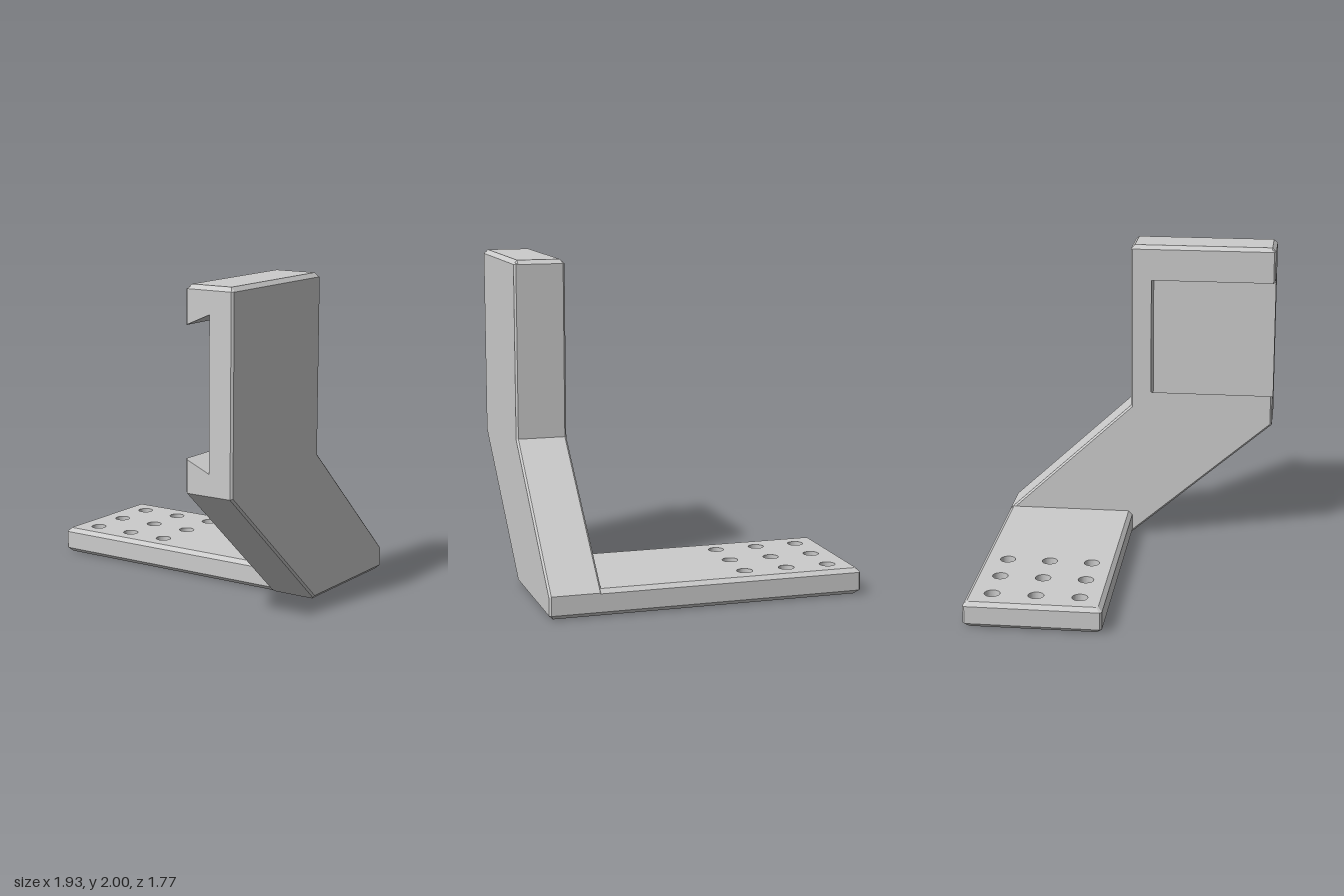
import * as THREE from 'three';

const material = new THREE.MeshStandardMaterial({ color: 0xcccccc, flatShading: true });
const CHAMFER = 0.025, EDGE = 0.012;

// Joins rings of equal point count (arrays of Vector3) into a flat-faced skin.
// caps: optional triangle lists for the first and the last ring.
function loft(rings, firstCap = [], lastCap = []) {
  const pos = [];
  const tri = (a, b, c) => {
    const area = b.clone().sub(a).cross(c.clone().sub(a)).length();
    if (area > 1e-8) [a, b, c].forEach(p => pos.push(p.x, p.y, p.z));
  };
  for (let r = 0; r < rings.length - 1; r++) {
    const lo = rings[r], hi = rings[r + 1];
    lo.forEach((a, i) => {
      const j = (i + 1) % lo.length;
      tri(a, hi[i], lo[j]);
      tri(lo[j], hi[i], hi[j]);
    });
  }
  const end = rings[rings.length - 1];
  firstCap.forEach(([a, b, c]) => tri(rings[0][a], rings[0][b], rings[0][c]));
  lastCap.forEach(([a, b, c]) => tri(end[a], end[c], end[b]));
  const geo = new THREE.BufferGeometry();
  geo.setAttribute('position', new THREE.Float32BufferAttribute(pos, 3));
  geo.computeVertexNormals();
  return geo;
}

// Side outline of the arm as (z, y): v insets the walls, t the top and bottom,
// the slot is given by its blind end and its lower and upper edges.
function armOutline(v, t, slotEnd, slotLow, slotHigh) {
  const front = 0.885 - v;
  return [
    [-0.86, t],
    [-0.055 + 1.16 * t - 1.53 * v, t],
    [front, 0.81 + 0.46 * v],
    [front, slotLow], [slotEnd ?? front, slotLow],
    [slotEnd ?? front, slotHigh], [front, slotHigh],
    [front, 2 - CHAMFER],
    [0.86, 2 - t],
    [-0.03, 2 - t],
    [-0.055 + v, 2 - CHAMFER],
    [-0.055 + v, 0.91 - 0.43 * v],
    [-0.885 + v, 0.14 - 0.43 * v],
    [-0.885 + v, CHAMFER],
  ];
}

// Cranked arm with a dovetail slot open to the front
function makeArm() {
  const x0 = 0.65, x1 = 0.965, floor = 0.81;
  const section = (x, v, t, open) => {
    const flare = 0.07 * Math.min(1, (x - x0) / (floor - x0));
    return { x, pts: armOutline(v, t, open ? 0.08 : null, 1.01 - flare, 1.77 + flare) };
  };
  const sections = [
    section(x0, EDGE, CHAMFER, true),
    section(x0 + EDGE, 0, CHAMFER - EDGE, true),
    section(x0 + CHAMFER, 0, 0, true),
    section(floor, 0, 0, true),
    section(floor, 0, 0, false), // closes the slot floor
    section(x1 - CHAMFER, 0, 0, false),
    section(x1 - EDGE, 0, CHAMFER - EDGE, false),
    section(x1, EDGE, CHAMFER, false),
  ];
  const rings = sections.map(s => s.pts.map(([z, y]) => new THREE.Vector3(s.x, y, z)));
  const cap = s => THREE.ShapeUtils.triangulateShape(s.pts.map(p => new THREE.Vector2(...p)), []);
  return loft(rings, cap(sections[0]), cap(sections[sections.length - 1]));
}

// Plate outline as (x, z), inset by d, with small cut corners
function plateOutline(d) {
  const l = -0.967 + d, r = 0.8, b = -0.885 + d, f = -0.043 - d, c = EDGE;
  return [[l + c, b], [r, b], [r, f], [l + c, f], [l, f - c], [l, b + c]];
}

function createModel() {
  const group = new THREE.Group();
  const add = (name, geo, parent = group) => {
    const mesh = new THREE.Mesh(geo, material);
    mesh.name = name;
    parent.add(mesh);
  };

  add('slottedArm', makeArm());

  const plate = new THREE.Group();
  plate.name = 'basePlate';
  group.add(plate);
  const height = 0.16;

  // Plate body with a 3 x 3 grid of through holes
  const shape = new THREE.Shape(plateOutline(CHAMFER).map(p => new THREE.Vector2(...p)));
  for (const x of [-0.81, -0.543, -0.276]) {
    for (const z of [-0.73, -0.462, -0.195]) {
      shape.holes.push(new THREE.Path().absarc(x, z, 0.048, 0, Math.PI * 2, true));
    }
  }
  const body = new THREE.ExtrudeGeometry(shape, { depth: height, bevelEnabled: false, curveSegments: 20 });
  body.rotateX(Math.PI / 2).translate(0, height, 0);
  add('drilledBody', body, plate);

  // Chamfered rim around the plate
  const levels = [[0, CHAMFER], [CHAMFER, 0], [height - CHAMFER, 0], [height, CHAMFER]];
  add('chamferedRim', loft(levels.map(([y, d]) =>
    plateOutline(d).map(([x, z]) => new THREE.Vector3(x, y, z)))), plate);

  return group;
}

export { createModel };
